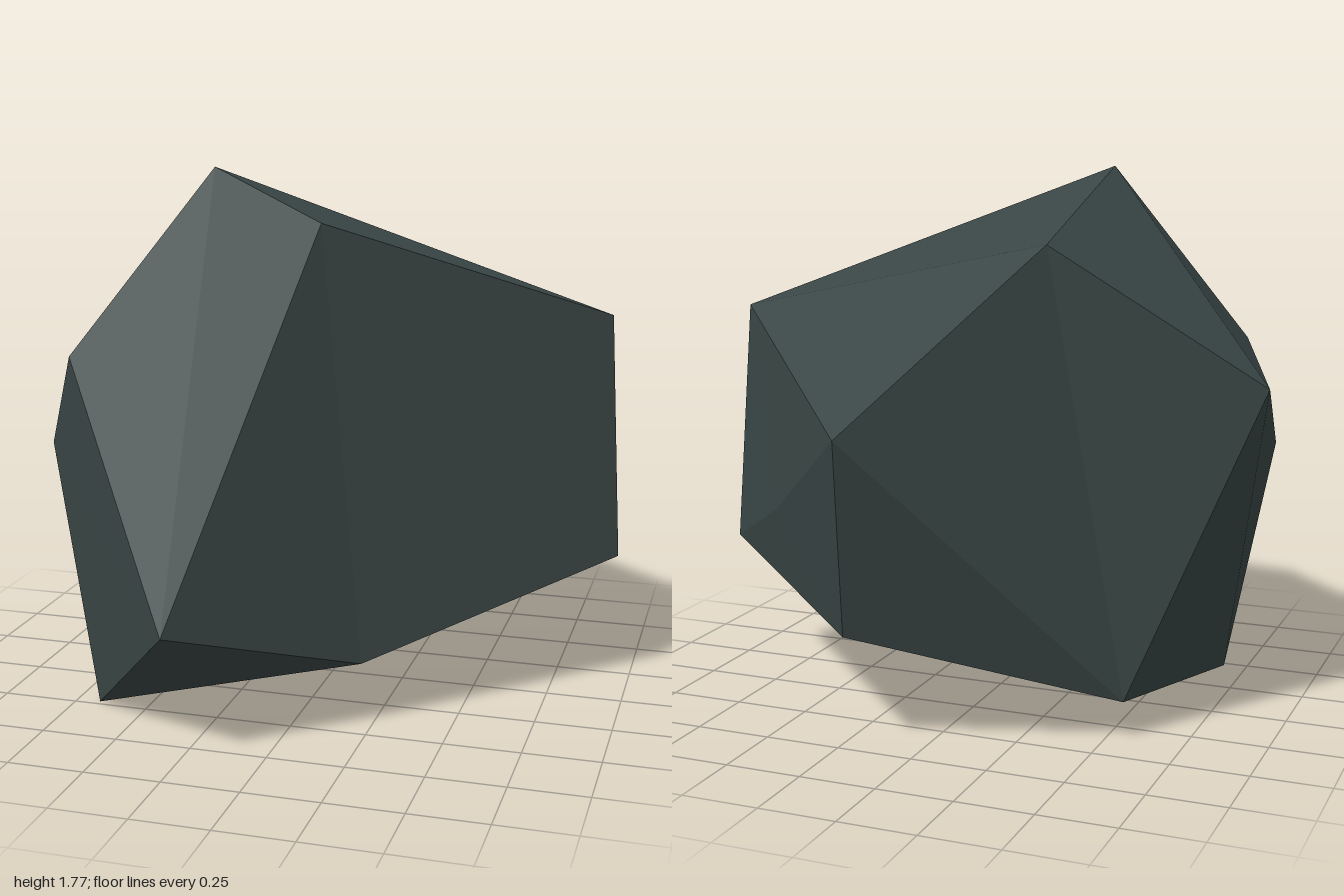
import * as THREE from 'three';

// Corners of the boulder, named by letter
const corners = {
  A: [-0.27, 1.77, 0.38], B: [0.13, 1.63, 0.58], C: [0.92, 1.29, -0.06],
  D: [0.96, 0.47, -0.11], E: [0.23, 0.23, 0.48], F: [-0.24, 0.45, 1.0],
  G: [-0.67, 0, 0.48], H: [-0.97, 1.13, -0.25], I: [-0.71, 1.18, 0.54],
  J: [-0.86, 0.85, 0.36], K: [-0.37, 1.57, -0.57], L: [0.12, 1.03, -1.0],
  M: [0.59, 0.68, -0.5], N: [0.2, 0.38, -0.8], O: [-0.56, 0.13, -0.37],
};

// Facets as corner loops, each fanned from its first corner
const facets = [
  'ABC', 'ACK', 'CLK',          // top
  'BCDEF', 'ABFI', 'EFG',       // front
  'FIJG', 'AIH', 'IJH', 'HJG', 'HGO', // -x side
  'AHK', 'KLO', 'KOH', 'LNO',   // back
  'MCD', 'MCL', 'MLN',          // +x side
  'DMN', 'DNE', 'ENOG',         // underside
];

function facetedGeometry() {
  const centre = new THREE.Vector3(0, 0.85, 0);
  const points = [];
  for (const loop of facets) {
    const p = [...loop].map((name) => new THREE.Vector3(...corners[name]));
    for (let i = 1; i < p.length - 1; i++) {
      const tri = new THREE.Triangle(p[0], p[i], p[i + 1]);
      const normal = tri.getNormal(new THREE.Vector3());
      // Wind every triangle to face outwards
      const outward = normal.dot(p[0].clone().sub(centre)) > 0;
      points.push(p[0], ...(outward ? [p[i], p[i + 1]] : [p[i + 1], p[i]]));
    }
  }
  const geometry = new THREE.BufferGeometry().setFromPoints(points);
  geometry.computeVertexNormals();
  return geometry;
}

export function createModel() {
  const stone = new THREE.MeshStandardMaterial({ color: 0x3a4746, flatShading: true });
  stone.name = 'dark stone';

  const boulder = new THREE.Mesh(facetedGeometry(), stone);
  boulder.name = 'boulder';

  const group = new THREE.Group();
  group.name = 'rock';
  group.add(boulder);
  return group;
}
